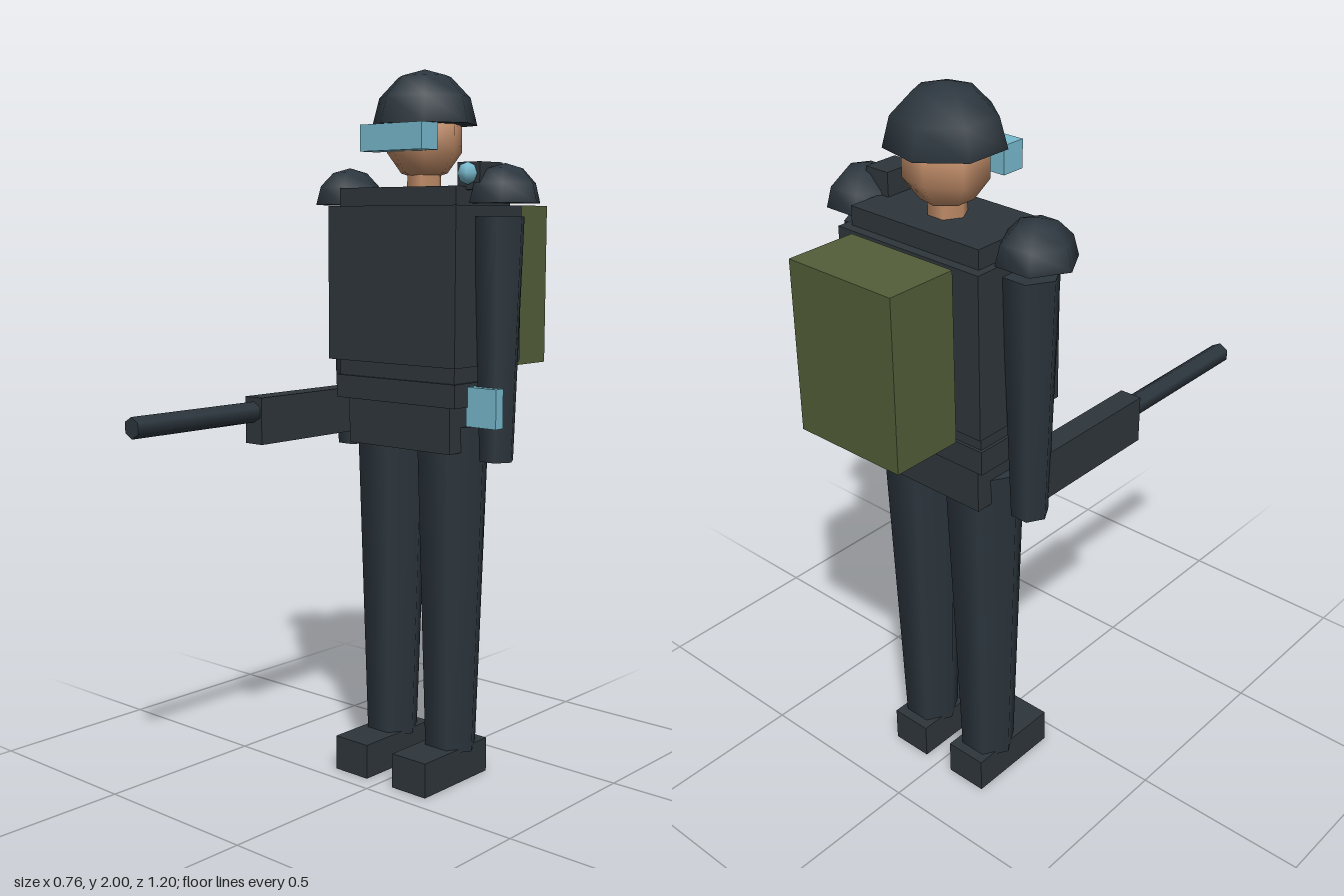
import * as THREE from 'three';

const material = (name, color) => {
  const m = new THREE.MeshStandardMaterial({ color });
  m.name = name;
  return m;
};

export function createModel() {
  const group = new THREE.Group();
  const suit = material('dark suit', 0x2c363e);
  const armour = material('dark armour', 0x2e363b);
  const olive = material('olive canvas', 0x535e39);
  const glass = material('light blue glass', 0x78bace);
  const skin = material('skin', 0xc08c68);
  const bodyZ = -0.24;

  const add = (name, geometry, mat, x = 0, y = 0, z = bodyZ) => {
    const mesh = new THREE.Mesh(geometry, mat);
    mesh.name = name;
    mesh.position.set(x, y, z);
    group.add(mesh);
    return mesh;
  };
  // Box given by its lower and upper limits on each axis
  const box = (name, mat, [x0, x1], [y0, y1], [z0, z1]) =>
    add(name, new THREE.BoxGeometry(x1 - x0, y1 - y0, z1 - z0), mat,
      (x0 + x1) / 2, (y0 + y1) / 2, (z0 + z1) / 2);
  // Upright six-sided tapered limb with corners toward the sides
  const limb = (name, mat, x, y0, y1, rBottom, rTop) =>
    add(name, new THREE.CylinderGeometry(rTop, rBottom, y1 - y0, 6).rotateY(Math.PI / 6),
      mat, x, (y0 + y1) / 2);
  // Half sphere closed by a flat underside
  const dome = (name, mat, x, y, r, h, sides) => {
    const shell = new THREE.SphereGeometry(r, sides, 3, 0, Math.PI * 2, 0, Math.PI / 2);
    add(name, shell.rotateY(Math.PI).scale(1, h / r, 1), mat, x, y);
    add(name + 'Underside', new THREE.CircleGeometry(r, sides).rotateX(Math.PI / 2), mat, x, y);
  };

  // Torso layers
  box('torso', armour, [-0.207, 0.207], [1.14, 1.68], [-0.36, -0.12]);
  box('chestArmour', armour, [-0.228, 0.228], [1.2, 1.63], [-0.386, -0.094]);
  box('belt', armour, [-0.215, 0.215], [1.09, 1.155], [-0.368, -0.112]);
  box('pelvis', armour, [-0.183, 0.183], [0.96, 1.1], [-0.347, -0.132]);

  // Arms, shoulders, legs and boots
  for (const [side, s] of [['left', 1], ['right', -1]]) {
    limb(side + 'Leg', suit, s * 0.11, 0.09, 1.03, 0.077, 0.108);
    add(side + 'Boot', new THREE.BoxGeometry(0.12, 0.1, 0.28), armour, s * 0.108, 0.05, -0.195);
    limb(side + 'Arm', suit, s * 0.261, 0.94, 1.6, 0.05, 0.073);
    dome(side + 'ShoulderPad', suit, s * 0.278, 1.635, 0.103, 0.105, 6);
  }

  // Head, helmet and visor
  limb('neck', skin, 0, 1.66, 1.75, 0.05, 0.05);
  add('head', new THREE.SphereGeometry(0.112, 7, 5).rotateY(Math.PI), skin, 0, 1.81);
  dome('helmet', suit, 0, 1.85, 0.15, 0.15, 7);
  box('visor', glass, [-0.11, 0.11], [1.777, 1.849], [-0.162, -0.095]);

  // Backpack
  box('backpack', olive, [-0.164, 0.164], [1.18, 1.632], [-0.6, -0.402]);

  // Lamp on the left shoulder and screen on the left wrist
  box('lampHousing', armour, [0.178, 0.252], [1.67, 1.743], [-0.262, -0.163]);
  add('lampLens', new THREE.SphereGeometry(0.03, 6, 4), glass, 0.217, 1.713, -0.157);
  box('wristScreen', glass, [0.211, 0.311], [1.037, 1.145], [-0.2, -0.168]);

  // Gun held in the right hand
  box('gunBody', armour, [-0.294, -0.231], [0.98, 1.11], [-0.22, 0.173]);
  add('gunBarrel', new THREE.CylinderGeometry(0.029, 0.029, 0.44, 6).rotateX(Math.PI / 2),
    suit, -0.262, 1.069, 0.38);

  return group;
}
